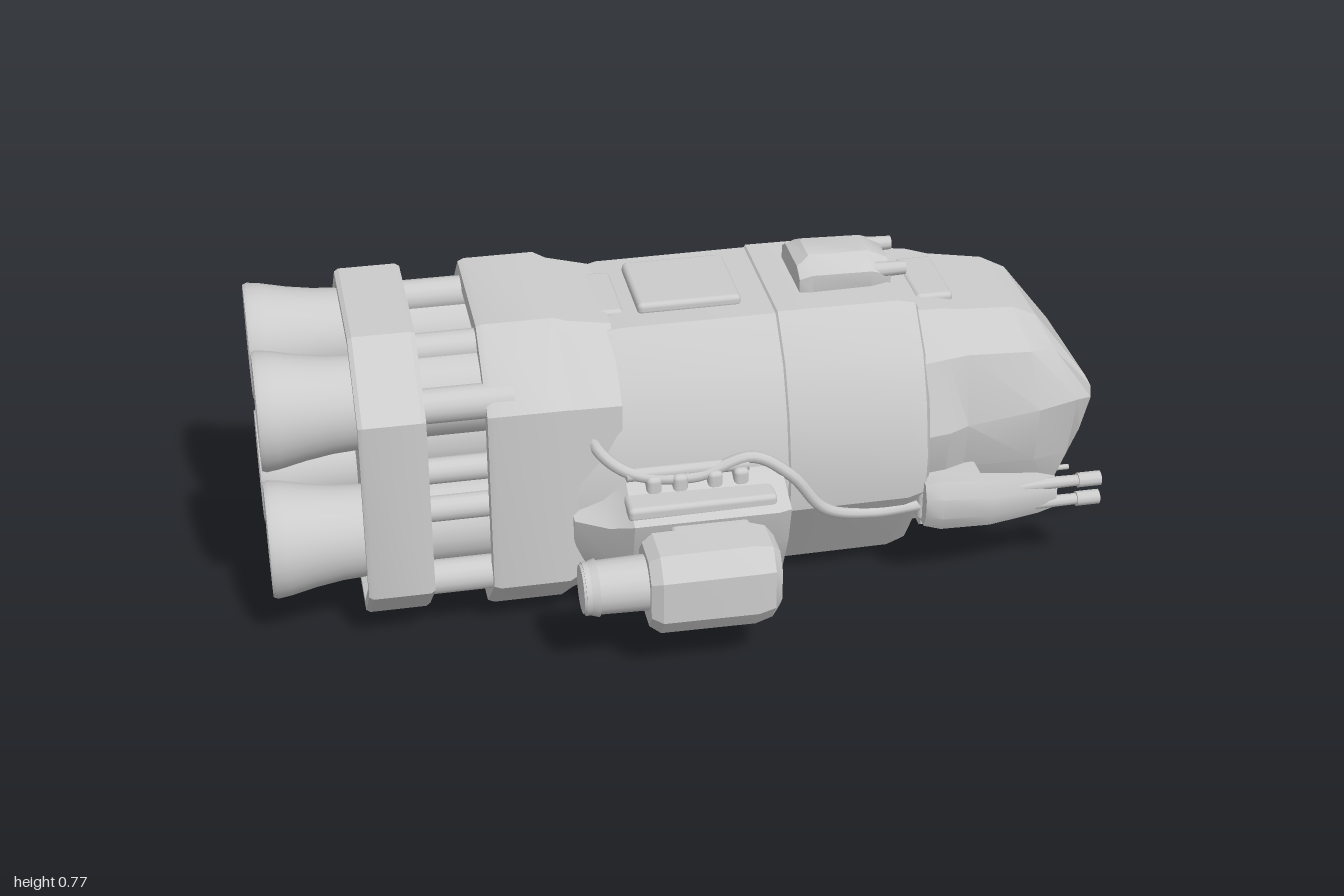
import * as THREE from 'three';
import { toCreasedNormals } from 'three/addons/utils/BufferGeometryUtils.js';
import { RoundedBoxGeometry } from 'three/addons/geometries/RoundedBoxGeometry.js';

const grey = new THREE.MeshStandardMaterial({ color: 0xcccccc });
const greyOpen = new THREE.MeshStandardMaterial({ color: 0xcccccc, side: THREE.DoubleSide });

// Lofts mirrored cross-sections along x; each section is a half outline of [z, y, x], bottom to top.
function loft(sections, crease = 0.5) {
  const rings = sections.map(h => [...h, ...h.slice().reverse().map(([z, y, x]) => [-z, y, x])]);
  const n = rings[0].length, pos = [], idx = [];
  rings.forEach(r => r.forEach(([z, y, x]) => pos.push(x, y, z)));
  for (let i = 0; i < rings.length - 1; i++) for (let j = 0; j < n; j++) {
    const a = i * n + j, b = i * n + (j + 1) % n;
    idx.push(a, a + n, b, b, a + n, b + n);
  }
  [0, rings.length - 1].forEach((i, end) => {
    const c = pos.length / 3;
    pos.push(...[2, 1, 0].map(k => rings[i].reduce((s, p) => s + p[k], 0) / n));
    for (let j = 0; j < n; j++) {
      const a = i * n + j, b = i * n + (j + 1) % n;
      idx.push(...(end ? [c, b, a] : [c, a, b]));
    }
  });
  const g = new THREE.BufferGeometry();
  g.setAttribute('position', new THREE.Float32BufferAttribute(pos, 3));
  g.setIndex(idx);
  return toCreasedNormals(g, crease);
}

// Half octagon: bottom, lower shoulder, upper shoulder, top.
const oct = (x, yb, yl, yh, yt, wb, w, wt) => [[wb, yb, x], [w, yl, x], [w, yh, x], [wt, yt, x]];
// Scales a half outline around a height and moves it to another x.
const inset = (h, k, x, cy = 0.375) => h.map(([z, y]) => [z * k, cy + (y - cy) * k, x]);

export function createModel() {
  const root = new THREE.Group();
  const add = (name, geo, x = 0, y = 0, z = 0, parent = root, mat = grey) => {
    const m = new THREE.Mesh(geo, mat);
    m.name = name;
    m.position.set(x, y, z);
    parent.add(m);
    return m;
  };
  const box = (name, w, h, d, x, y, z, parent) =>
    add(name, new RoundedBoxGeometry(w, h, d, 2, 0.012), x, y, z, parent);
  const rod = (name, r1, r2, x0, x1, y, z, parent, sides = 16) =>
    add(name, new THREE.CylinderGeometry(r2, r1, x1 - x0, sides).rotateZ(-Math.PI / 2), (x0 + x1) / 2, y, z, parent);

  // Rear engine frame, shallow recess behind and deeper one in front
  const ring = oct(0, 0.005, 0.15, 0.6, 0.742, 0.17, 0.335, 0.17);
  add('rearFrame', loft([
    inset(ring, 0.9, -0.775), inset(ring, 0.92, -0.79), inset(ring, 0.975, -0.79), inset(ring, 0.99, -0.78),
    inset(ring, 0.99, -0.65), inset(ring, 0.975, -0.64), inset(ring, 0.88, -0.64), inset(ring, 0.86, -0.7)]));

  // Forward frame, stepping down onto the hull
  const band = oct(0, 0, 0.14, 0.59, 0.738, 0.17, 0.325, 0.165);
  add('forwardFrame', loft([
    inset(band, 0.84, -0.45), inset(band, 0.86, -0.505), inset(band, 0.985, -0.505), inset(band, 1, -0.49),
    inset(band, 1, -0.33), inset(band, 0.96, -0.3), inset(band, 0.9, -0.2)]));

  // Four engines with thick-walled hollow bells and thrust tubes
  const bell = [[0.1, 0.7], [0.107, 0.79], [0.11, 0.84], [0.119, 0.9], [0.132, 0.96], [0.136, 0.99], [0.132, 1],
    [0.12, 0.995], [0.105, 0.94], [0.085, 0.86], [0.05, 0.82], [0, 0.81]].map(p => new THREE.Vector2(...p));
  for (const s of [-1, 1]) for (const y of [0.572, 0.235]) {
    const up = y > 0.4 ? 1 : -1;
    add('engineBell', toCreasedNormals(new THREE.LatheGeometry(bell, 28).rotateZ(Math.PI / 2), 0.7), 0, y, s * 0.165, root, greyOpen);
    rod('thrustTube', 0.1, 0.1, -0.72, -0.44, y, s * 0.15, root, 20);
    rod('outerStrut', 0.04, 0.04, -0.7, -0.44, 0.375 + up * 0.225, s * 0.262);
    rod('innerStrut', 0.03, 0.03, -0.7, -0.44, 0.375 + up * 0.05, s * 0.25);
    rod('edgeStrut', 0.038, 0.038, -0.7, -0.44, 0.375 + up * 0.295, s * 0.13);
  }
  rod('engineCore', 0.13, 0.13, -0.72, -0.44, 0.405, 0);

  // Main hull in two armoured sections with rounded shoulders
  const hull = [[0.17, 0.04], [0.33, 0.27], [0.335, 0.37], [0.305, 0.5], [0.255, 0.61], [0.17, 0.702]];
  add('midHull', loft([
    inset(hull, 0.94, -0.36), inset(hull, 0.95, -0.24), inset(hull, 0.985, -0.18), inset(hull, 0.99, 0.19)]));
  add('foreHull', loft([
    inset(hull, 0.97, 0.17), inset(hull, 1.005, 0.18), inset(hull, 1, 0.46), inset(hull, 0.96, 0.505), inset(hull, 0.87, 0.52)]));

  // Faceted nose with collar, sloped canopy and blunt tip
  add('nose', loft([
    [[0.155, 0.09, 0.48], [0.27, 0.28, 0.48], [0.295, 0.4, 0.48], [0.25, 0.57, 0.48], [0.165, 0.67, 0.48]],
    [[0.155, 0.1, 0.57], [0.255, 0.28, 0.57], [0.28, 0.4, 0.57], [0.232, 0.57, 0.57], [0.155, 0.662, 0.57]],
    [[0.155, 0.115, 0.62], [0.235, 0.28, 0.62], [0.255, 0.4, 0.62], [0.222, 0.57, 0.62], [0.145, 0.65, 0.62]],
    [[0.15, 0.12, 0.78], [0.215, 0.265, 0.8], [0.235, 0.41, 0.8], [0.2, 0.55, 0.78], [0.13, 0.635, 0.75]],
    [[0.145, 0.13, 0.865], [0.175, 0.25, 0.895], [0.195, 0.405, 0.905], [0.165, 0.53, 0.85], [0.125, 0.605, 0.81]],
    [[0.125, 0.22, 0.915], [0.14, 0.29, 0.935], [0.155, 0.385, 0.952], [0.152, 0.415, 0.95], [0.145, 0.44, 0.937]]], 0.35));
  box('canopyBrow', 0.09, 0.03, 0.2, 0.57, 0.655, 0);

  // Flared lower skirt with forward-facing scoops
  const skirt = [[0.17, 0.035], [0.28, 0.055], [0.36, 0.125], [0.415, 0.24], [0.442, 0.34], [0.36, 0.375], [0.3, 0.41]];
  add('skirt', loft([
    inset(skirt, 0.76, -0.32, 0.2), inset(skirt, 0.88, -0.25, 0.1), inset(skirt, 0.99, -0.2, 0.1), inset(skirt, 1, 0.13),
    inset(skirt, 0.97, 0.16, 0.25), inset(skirt, 0.9, 0.16, 0.25), inset(skirt, 0.84, -0.05, 0.25)], 0.6));

  // Dorsal plates
  box('dorsalPlate', 0.24, 0.03, 0.22, -0.01, 0.705, 0);
  box('dorsalRearPlate', 0.12, 0.03, 0.2, -0.22, 0.69, 0);
  for (const s of [-1, 1]) box('dorsalVent', 0.1, 0.03, 0.05, -0.24, 0.67, s * 0.15);

  // Dorsal turret
  const turret = new THREE.Group();
  turret.name = 'dorsalTurret';
  root.add(turret);
  add('turretBody', loft([
    oct(0.25, 0.68, 0.7, 0.735, 0.755, 0.08, 0.09, 0.06), oct(0.28, 0.68, 0.7, 0.745, 0.772, 0.08, 0.095, 0.045),
    oct(0.42, 0.68, 0.7, 0.74, 0.77, 0.08, 0.09, 0.04), oct(0.47, 0.68, 0.7, 0.72, 0.745, 0.07, 0.075, 0.035)]), 0, 0, 0, turret);
  for (const s of [-1, 1]) rod('turretBarrel', 0.021, 0.016, 0.38, 0.505, 0.73, s * 0.065, turret, 10);

  // Chin turret with long twin barrels
  add('chinMount', loft([
    oct(0.56, 0.04, 0.05, 0.11, 0.16, 0.1, 0.115, 0.11), oct(0.74, 0.03, 0.05, 0.11, 0.16, 0.095, 0.115, 0.11),
    oct(0.79, 0.03, 0.05, 0.1, 0.13, 0.05, 0.065, 0.055)]));
  for (const s of [-1, 1]) {
    rod('chinBarrel', 0.009, 0.007, 0.7, 0.995, 0.052, s * 0.068, root, 8);
    rod('chinBarrelSleeve', 0.02, 0.014, 0.66, 0.8, 0.052, s * 0.068, root, 10);
  }

  // Parts repeated on each flank
  for (const s of [-1, 1]) {
    const side = new THREE.Group();
    side.name = s > 0 ? 'leftFlank' : 'rightFlank';
    root.add(side);

    // Outrigger pod
    const podOct = (x, k) => inset(oct(0, 0.13, 0.18, 0.285, 0.333, 0.055, 0.092, 0.05), k, x, 0.23);
    add('podBody', loft([podOct(-0.19, 0.82), podOct(-0.165, 0.98), podOct(0.05, 1), podOct(0.09, 0.9), podOct(0.108, 0.7)]), 0, 0, s * 0.504, side);
    rod('podIntake', 0.06, 0.064, -0.33, -0.16, 0.237, s * 0.505, side, 18);
    rod('podIntakeLip', 0.055, 0.066, -0.335, -0.3, 0.237, s * 0.505, side, 18);
    box('podBracket', 0.18, 0.1, 0.12, -0.03, 0.28, s * 0.41, side);
    box('podDeck', 0.34, 0.035, 0.12, -0.04, 0.355, s * 0.36, side);
    for (const x of [-0.14, -0.08, 0.0, 0.06]) box('podFitting', 0.035, 0.05, 0.05, x, 0.385, s * 0.335, side);
    rod('flankPipe', 0.016, 0.016, -0.2, 0.08, 0.41, s * 0.33, side, 10);

    // Flexible hose
    const path = [[-0.25, 0.58, 0.265], [-0.27, 0.49, 0.295], [-0.2, 0.42, 0.33], [-0.05, 0.395, 0.34], [0.09, 0.425, 0.33],
      [0.18, 0.37, 0.34], [0.26, 0.27, 0.335], [0.38, 0.225, 0.305], [0.52, 0.23, 0.3]].map(([x, y, z]) => new THREE.Vector3(x, y, z * s));
    add('hose', new THREE.TubeGeometry(new THREE.CatmullRomCurve3(path), 60, 0.014, 8), 0, 0, 0, side);

    // Side cannon
    const gunOct = (x, yb, yt, w) => oct(x, yb, yb + (yt - yb) * 0.3, yb + (yt - yb) * 0.7, yt, w * 0.5, w, w * 0.5);
    add('cannonBody', loft([gunOct(0.5, 0.19, 0.3, 0.03), gunOct(0.54, 0.18, 0.31, 0.042), gunOct(0.66, 0.175, 0.295, 0.036),
      gunOct(0.78, 0.19, 0.285, 0.024), gunOct(0.82, 0.2, 0.275, 0.016)]), 0, 0, s * 0.318, side);
    box('cannonMount', 0.16, 0.1, 0.1, 0.57, 0.24, s * 0.265, side);
    for (const y of [0.215, 0.266]) {
      rod('cannonBarrel', 0.016, 0.013, 0.72, 0.92, y, s * 0.326, side, 10);
      rod('cannonMuzzle', 0.018, 0.018, 0.87, 0.925, y, s * 0.326, side, 10);
    }
  }
  return root;
}
